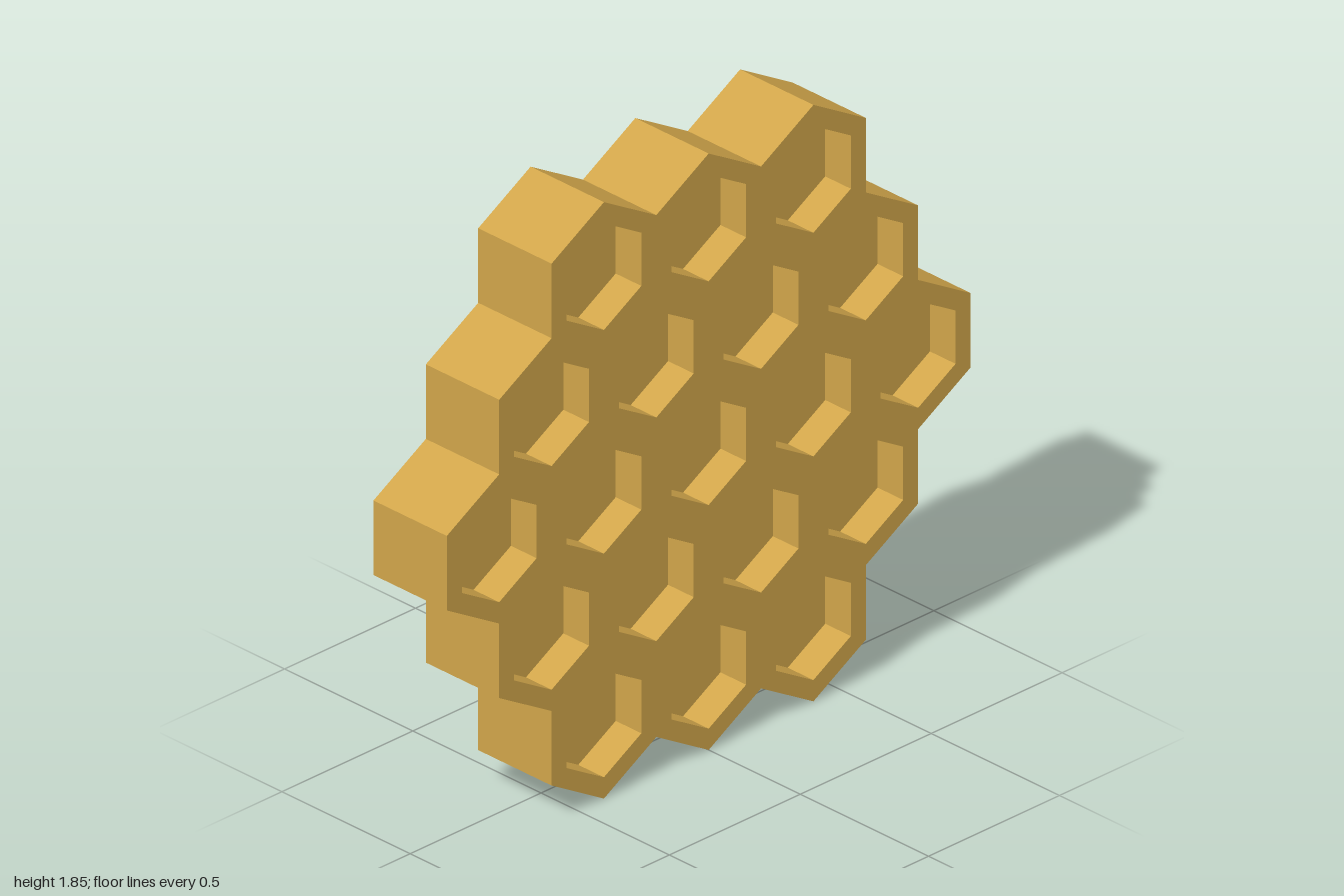
import * as THREE from 'three';

const PITCH = 0.4;                  // distance between neighbouring cell centres
const CELL_R = PITCH / Math.sqrt(3); // outer hexagon corner radius
const HOLE_R = 0.165;               // recess corner radius
const DEPTH = 0.286;                // slab thickness
const RECESS = 0.1;                 // recess depth on each face
const RINGS = 2;                    // rings of cells around the middle one
const CENTRE_Y = RINGS * PITCH * Math.sqrt(3) / 2 + CELL_R;

const polar = (r, deg) => new THREE.Vector2(
  r * Math.cos(THREE.MathUtils.degToRad(deg)),
  r * Math.sin(THREE.MathUtils.degToRad(deg)));

// Centres of the hexagonal cluster, row by row (3, 4, 5, 4, 3)
function cellCentres() {
  const centres = [];
  for (let row = -RINGS; row <= RINGS; row++) {
    const count = 2 * RINGS + 1 - Math.abs(row);
    for (let i = 0; i < count; i++) {
      centres.push(new THREE.Vector2((i - (count - 1) / 2) * PITCH, row * PITCH * Math.sqrt(3) / 2));
    }
  }
  return centres;
}

// Zigzag rim: one sixth is traced along the border cells, then turned six times
function rimPoints() {
  const points = [];
  for (let side = 0; side < 6; side++) {
    const turn = side * 60;
    const corner = polar(RINGS * PITCH, turn);
    const step = polar(PITCH, turn + 120);
    for (let i = 0; i <= RINGS; i++) {
      const c = corner.clone().addScaledVector(step, i);
      points.push(polar(CELL_R, turn - 30).add(c));
      if (i < RINGS) points.push(polar(CELL_R, turn + 30).add(c));
    }
  }
  return points;
}

export function createModel() {
  const model = new THREE.Group();
  model.name = 'honeycomb';
  const wax = new THREE.MeshStandardMaterial({ color: 0xd0a54a, flatShading: true });
  const centres = cellCentres();

  // Slab with a hexagonal opening for each cell
  const shape = new THREE.Shape(rimPoints());
  for (const c of centres) {
    const corners = [];
    for (let k = 0; k < 6; k++) corners.push(polar(HOLE_R, 30 - 60 * k).add(c));
    shape.holes.push(new THREE.Path(corners));
  }
  const slab = new THREE.ExtrudeGeometry(shape, { depth: DEPTH, bevelEnabled: false });
  slab.translate(0, CENTRE_Y, -DEPTH / 2);
  const comb = new THREE.Mesh(slab, wax);
  comb.name = 'combWalls';
  model.add(comb);

  // Cell floors, one facing each way
  const floorGeometry = new THREE.CircleGeometry(HOLE_R, 6, Math.PI / 6);
  const floors = new THREE.Group();
  floors.name = 'cellFloors';
  for (const c of centres) {
    for (const dir of [1, -1]) {
      const floor = new THREE.Mesh(floorGeometry, wax);
      floor.name = dir > 0 ? 'frontCellFloor' : 'backCellFloor';
      floor.position.set(c.x, c.y + CENTRE_Y, dir * (DEPTH / 2 - RECESS));
      if (dir < 0) floor.rotation.y = Math.PI;
      floors.add(floor);
    }
  }
  model.add(floors);
  return model;
}
